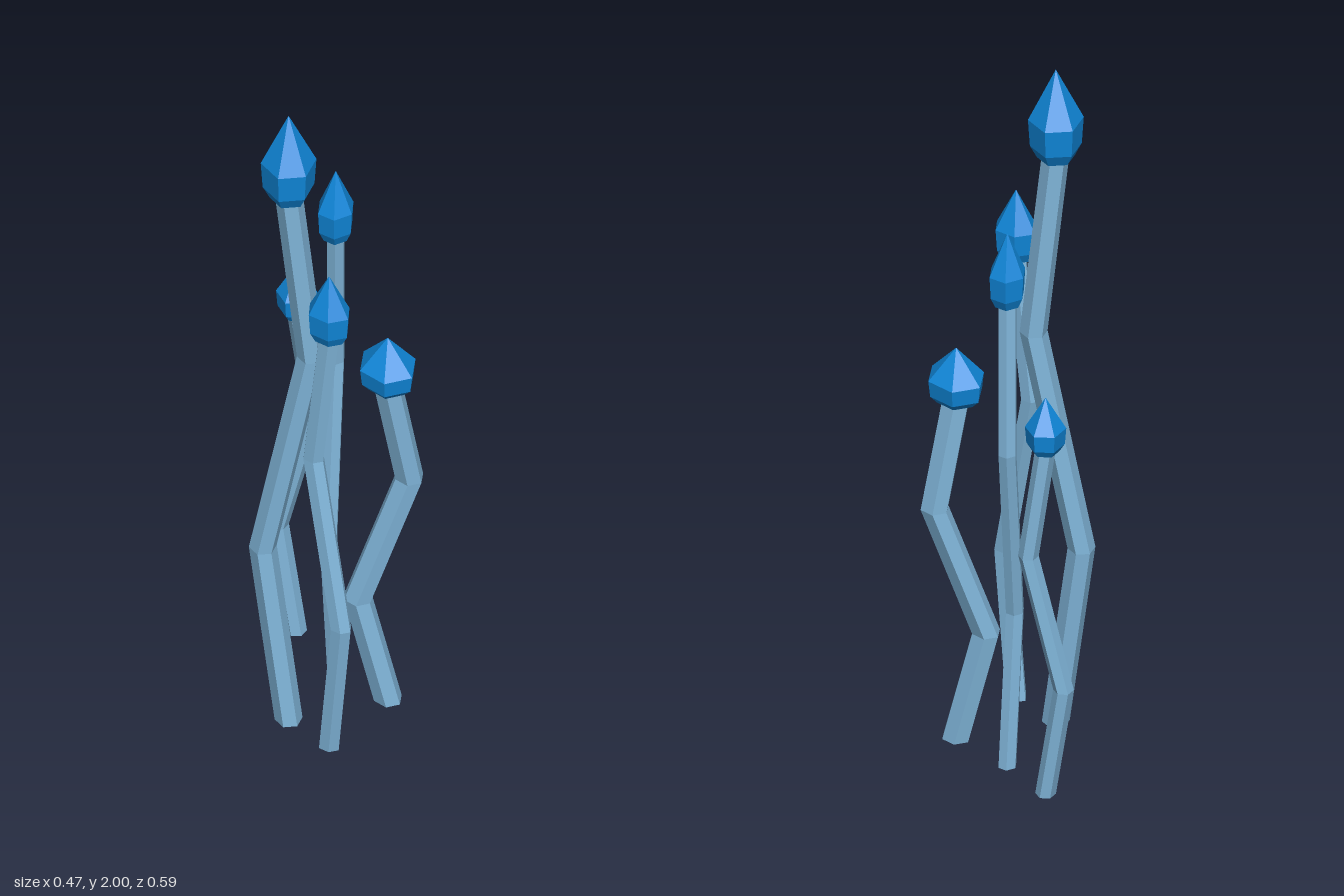
import * as THREE from 'three';

// Each stalk: centre, height, two hexagon corner vectors (a, b) of the cap,
// and the sideways offsets of the lower and upper knees, all as [x, z].
const STALKS = [
  { name: 'tallStalk', at: [-0.153, 0.038], height: 2.0, a: [0.082, -0.034], b: [-0.025, 0.084], low: [-0.022, -0.073], high: [0.045, 0.04] },
  { name: 'frontRightStalk', at: [-0.178, 0.205], height: 1.56, a: [0.044, -0.034], b: [0.005, 0.064], low: [-0.018, 0.058], high: [-0.004, -0.052] },
  { name: 'frontLeftStalk', at: [0.094, 0.177], height: 1.195, a: [0.074, -0.052], b: [-0.004, 0.09], low: [-0.046, -0.067], high: [0.057, 0.027] },
  { name: 'middleLeftStalk', at: [0.121, -0.033], height: 1.635, a: [0.048, -0.036], b: [0.005, 0.053], low: [-0.048, 0.016], high: [0.031, -0.028] },
  { name: 'backLeftStalk', at: [0.168, -0.214], height: 1.215, a: [0.0625, -0.0135], b: [-0.0285, 0.058], low: [-0.011, -0.055], high: [0.029, 0.036] },
];

// Joins hexagonal rings, listed from bottom to top as { offset, y, size };
// a ring of size 0 closes an end.
function loft(a, b, rings) {
  const sum = [a[0] + b[0], a[1] + b[1]];
  const half = [a, sum, b];
  const corners = [...half, ...half.map(([x, z]) => [-x, -z])];
  const point = (ring, i) => {
    const [x, z] = corners[i % 6];
    return [ring.offset[0] + x * ring.size, ring.y, ring.offset[1] + z * ring.size];
  };
  const positions = [];
  for (let r = 0; r < rings.length - 1; r++) {
    const lower = rings[r], upper = rings[r + 1];
    for (let i = 0; i < 6; i++) {
      if (lower.size > 0) positions.push(...point(lower, i), ...point(upper, i), ...point(lower, i + 1));
      if (upper.size > 0) positions.push(...point(lower, i + 1), ...point(upper, i), ...point(upper, i + 1));
    }
  }
  const geometry = new THREE.BufferGeometry();
  geometry.setAttribute('position', new THREE.Float32BufferAttribute(positions, 3));
  geometry.computeVertexNormals();
  return geometry;
}

export function createModel() {
  const stemBlue = new THREE.MeshStandardMaterial({ color: 0x7fb4d8, flatShading: true });
  stemBlue.name = 'paleStemBlue';
  const capBlue = new THREE.MeshStandardMaterial({ color: 0x0f86d8, flatShading: true });
  capBlue.name = 'brightCapBlue';

  const model = new THREE.Group();
  model.name = 'stalkCluster';
  const centre = [0, 0];

  for (const { name, at, height, a, b, low, high } of STALKS) {
    const ring = (offset, y, size) => ({ offset, y: y * height, size });

    // Crooked hexagonal stem with two knees
    const stem = new THREE.Mesh(loft(a, b, [
      ring(centre, 0, 0),
      ring(centre, 0, 0.5),
      ring(low, 0.275, 0.5),
      ring(high, 0.6, 0.5),
      ring(centre, 0.872, 0.5),
    ]), stemBlue);
    stem.name = 'stem';

    // Pointed cap with a bevelled underside
    const cap = new THREE.Mesh(loft(a, b, [
      ring(centre, 0.867, 0),
      ring(centre, 0.867, 0.68),
      ring(centre, 0.885, 0.93),
      ring(centre, 0.925, 1),
      ring(centre, 1, 0),
    ]), capBlue);
    cap.name = 'cap';

    const stalk = new THREE.Group();
    stalk.name = name;
    stalk.position.set(at[0], 0, at[1]);
    stalk.add(stem, cap);
    model.add(stalk);
  }
  return model;
}
